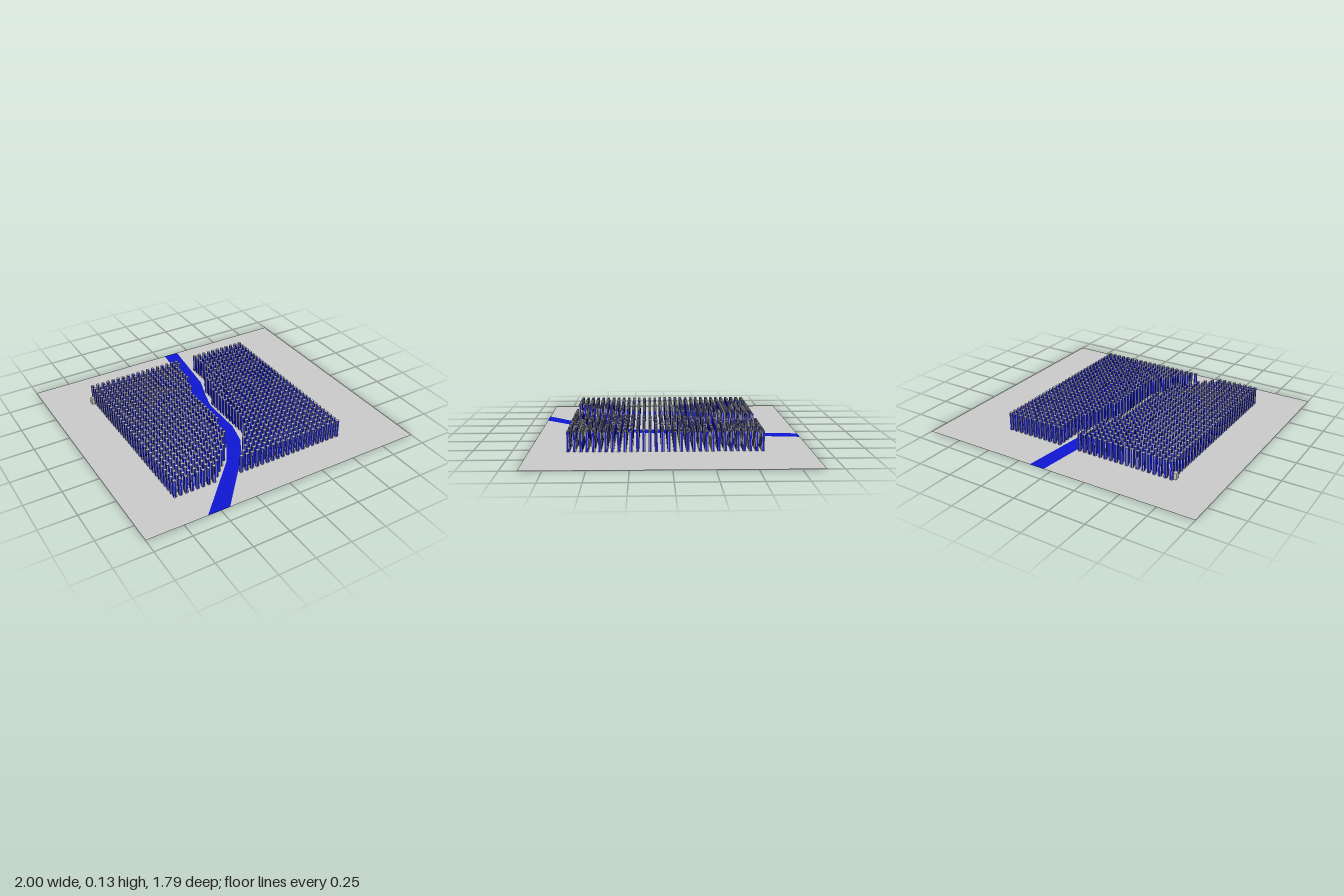
import * as THREE from 'three';
import { mergeGeometries } from 'three/addons/utils/BufferGeometryUtils.js';

// River banks from back to front: [z, left edge x, right edge x]
const BANKS = [
  [-0.895, 0.055, 0.163], [-0.41, 0, 0.107], [-0.26, -0.05, 0.056], [-0.11, -0.095, 0.013],
  [0.195, -0.095, 0.013], [0.355, -0.135, -0.025], [0.51, -0.23, -0.115], [0.895, -0.59, -0.437],
];
const COUNT = 32, STEP = 0.0397, X0 = -0.678, Z0 = -0.586;
const WIDTH = 0.0185, HEIGHT = 0.13, MARGIN = 0.017;

// Bank positions at a given z
function banksAt(z) {
  let i = 0;
  while (i < BANKS.length - 2 && z > BANKS[i + 1][0]) i++;
  const a = BANKS[i], b = BANKS[i + 1], t = (z - a[0]) / (b[0] - a[0]);
  return [a[1] + (b[1] - a[1]) * t, a[2] + (b[2] - a[2]) * t];
}

// Flat, horizontal polygon from [x, z] points
function flat(name, points, material) {
  const shape = new THREE.Shape(points.map(([x, z]) => new THREE.Vector2(x, -z)));
  const mesh = new THREE.Mesh(new THREE.ShapeGeometry(shape).rotateX(-Math.PI / 2), material);
  mesh.name = name;
  return mesh;
}

// Box standing on height y
function box(w, h, d, x, y, z) {
  return new THREE.BoxGeometry(w, h, d).translate(x, y + h / 2, z);
}

export function createModel() {
  const group = new THREE.Group();
  group.name = 'riverCity';
  const grey = new THREE.MeshStandardMaterial({ color: 0xcccccc });
  const ground = new THREE.MeshStandardMaterial({ color: 0xcccccc, side: THREE.DoubleSide });
  const blue = new THREE.MeshStandardMaterial({ color: 0x0e16d4 });
  const water = new THREE.MeshStandardMaterial({ color: 0x0e16d4, side: THREE.DoubleSide });

  // Ground on either side of the river, and the river between
  const west = BANKS.map(([z, l]) => [l, z]);
  const east = BANKS.map(([z, , r]) => [r, z]);
  group.add(flat('groundWest', [[-1, -0.895], ...west, [-1, 0.895]], ground));
  group.add(flat('groundEast', [[1, -0.895], ...east, [1, 0.895]], ground));
  group.add(flat('river', [...west, ...east.slice().reverse()], water));

  // Grid of towers, left out along the river
  const bodies = [], windows = [];
  for (let i = 0; i < COUNT; i++) {
    for (let j = 0; j < COUNT; j++) {
      const x = X0 + i * STEP, z = Z0 + j * STEP;
      const [l, r] = banksAt(z);
      if (x > l - MARGIN && x < r + MARGIN) continue;
      bodies.push(box(WIDTH, HEIGHT - 0.001, WIDTH, x, 0.001, z));
      // Window strips showing on all four faces
      windows.push(box(WIDTH + 0.001, HEIGHT - 0.004, 0.01, x, 0.002, z));
      windows.push(box(0.01, HEIGHT - 0.004, WIDTH + 0.001, x, 0.002, z));
    }
  }
  const towers = new THREE.Mesh(mergeGeometries(bodies), grey);
  towers.name = 'towers';
  const panes = new THREE.Mesh(mergeGeometries(windows), blue);
  panes.name = 'towerWindows';

  // Low annex beside the back corner tower
  const annex = new THREE.Mesh(box(0.024, 0.044, 0.03, -0.695, 0.001, -0.565), grey);
  annex.name = 'annex';
  group.add(towers, panes, annex);
  return group;
}
